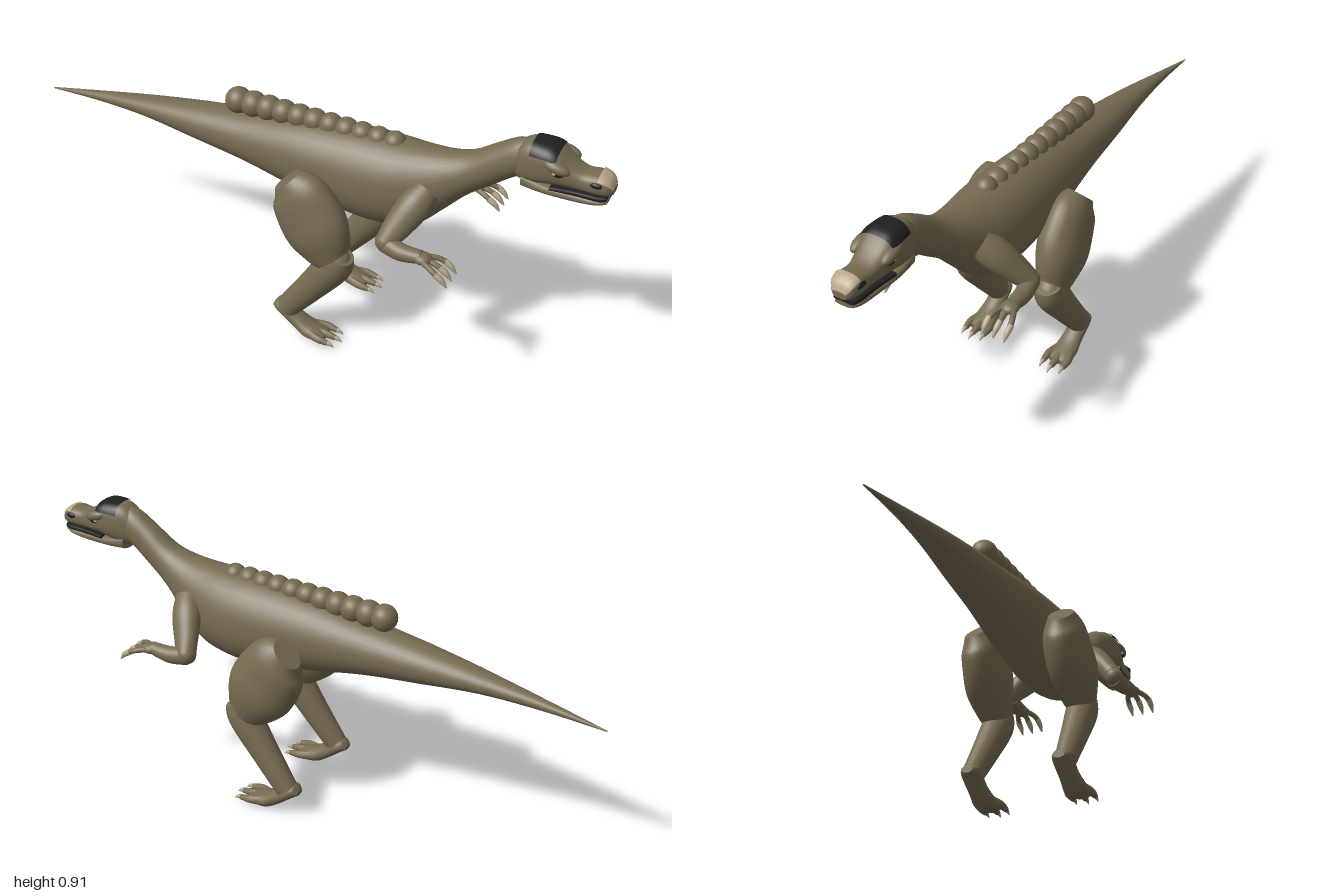
import * as THREE from 'three';

const mat = (name, color) => Object.assign(new THREE.MeshStandardMaterial({ color }), { name });

// Smoothly resample rows of numbers (Catmull-Rom on every column)
function smooth(rows, n = 5) {
  const out = [], last = rows.length - 1;
  for (let i = 0; i < last; i++) {
    const [a, b, c, d] = [i - 1, i, i + 1, i + 2].map(k => rows[Math.min(last, Math.max(0, k))]);
    for (let j = 0; j < n; j++) {
      const t = j / n;
      out.push(b.map((_, k) => b[k] + 0.5 * t * (c[k] - a[k]
        + t * (2 * a[k] - 5 * b[k] + 4 * c[k] - d[k] + t * (3 * (b[k] - c[k]) + d[k] - a[k])))));
    }
  }
  out.push(rows[last]);
  return out;
}

// Skin over rings [x, y, z, rHeight, rWidth]; upright keeps rings facing x; arc limits it to a top strip
function loft(rings, { upright = false, segs = 28, power = 1, arc = Math.PI } = {}) {
  const pos = [], idx = [], full = arc === Math.PI, cols = full ? segs : segs + 1;
  const bend = v => Math.sign(v) * Math.abs(v) ** power;
  const centres = rings.map(r => new THREE.Vector3(r[0], r[1], r[2]));
  rings.forEach((r, i) => {
    const t = upright ? new THREE.Vector3(1, 0, 0) : centres[Math.min(i + 1, rings.length - 1)].clone()
      .sub(centres[Math.max(i - 1, 0)]).normalize();
    const u = new THREE.Vector3(0, 0, 1).addScaledVector(t, -t.z).normalize();
    const n = u.clone().cross(t);
    for (let j = 0; j < cols; j++) {
      const a = -arc + 2 * arc * j / segs;
      const p = centres[i].clone().addScaledVector(n, r[3] * bend(Math.cos(a))).addScaledVector(u, r[4] * bend(Math.sin(a)));
      pos.push(p.x, p.y, p.z);
    }
  });
  for (let i = 0; i < rings.length - 1; i++) {
    for (let j = 0; j < segs; j++) {
      const k = (j + 1) % cols, a = i * cols + j, b = i * cols + k;
      idx.push(a, b, a + cols, b, b + cols, a + cols);
    }
  }
  if (full) {
    for (const end of [0, rings.length - 1]) {
      const base = pos.length / 3;
      pos.push(...pos.slice(end * cols * 3, (end + 1) * cols * 3), ...centres[end].toArray());
      for (let j = 0; j < segs; j++) {
        const a = base + j, b = base + (j + 1) % segs;
        idx.push(base + segs, end ? a : b, end ? b : a);
      }
    }
  }
  const g = new THREE.BufferGeometry();
  g.setAttribute('position', new THREE.Float32BufferAttribute(pos, 3));
  g.setIndex(idx);
  g.computeVertexNormals();
  return g;
}

// Rows [x, top, bottom, halfWidth] to rings
const profile = (rows, z = 0, n = 5) => smooth(rows, n).map(([x, t, b, w]) => [x, (t + b) / 2, z, (t - b) / 2, w]);

export function createModel() {
  const root = new THREE.Group();
  root.name = 'dinosaur';
  const hide = mat('hide', 0x776b51), claw = mat('claw', 0xb8a58a);
  const black = mat('black', 0x1f1f20), pale = mat('eyeGlint', 0xd9d2b8);
  const add = (parent, name, geo, m = hide) => {
    const mesh = new THREE.Mesh(geo, m);
    mesh.name = name;
    parent.add(mesh);
    return mesh;
  };
  const ball = (parent, name, p, r, m = hide) => {
    const b = add(parent, name, new THREE.SphereGeometry(1, 20, 14), m);
    b.position.set(...p);
    b.scale.set(...r);
    return b;
  };
  const group = name => {
    const g = new THREE.Group();
    g.name = name;
    root.add(g);
    return g;
  };

  // Tail, torso and neck in one skin
  add(root, 'body', loft(profile([
    [-1, 0.577, 0.573, 0.002], [-0.8, 0.617, 0.583, 0.02], [-0.6, 0.653, 0.583, 0.045], [-0.4, 0.685, 0.56, 0.07],
    [-0.2, 0.712, 0.533, 0.09], [0, 0.745, 0.49, 0.112], [0.2, 0.762, 0.458, 0.125], [0.32, 0.765, 0.462, 0.122],
    [0.41, 0.767, 0.49, 0.105], [0.49, 0.775, 0.57, 0.082], [0.56, 0.797, 0.645, 0.062], [0.63, 0.845, 0.7, 0.052],
    [0.7, 0.888, 0.755, 0.048], [0.76, 0.895, 0.785, 0.045]]), { upright: true, segs: 36 }));

  // Row of rounded lumps along the back
  const ridge = group('backRidge');
  for (let i = 0; i < 11; i++) {
    const r = 0.044 - i * 0.0008;
    ball(ridge, 'backLump', [-0.25 + i * 0.0555, 0.743 + i * 0.0008, 0], [r, r, r]);
  }

  // Head
  const head = group('head');
  const skull = profile([
    [0.7, 0.875, 0.77, 0.042], [0.735, 0.9, 0.762, 0.053], [0.78, 0.904, 0.77, 0.061], [0.825, 0.897, 0.78, 0.061],
    [0.87, 0.862, 0.782, 0.05], [0.91, 0.845, 0.782, 0.043], [0.955, 0.848, 0.782, 0.044],
    [0.985, 0.835, 0.785, 0.038], [1, 0.812, 0.792, 0.022]], 0, 6);
  const opts = { upright: true, power: 0.75 };
  add(head, 'skull', loft(skull, opts));
  add(head, 'lowerJaw', loft(profile([[0.73, 0.8, 0.747, 0.05], [0.8, 0.782, 0.745, 0.053], [0.9, 0.773, 0.742, 0.043],
    [0.96, 0.772, 0.75, 0.04], [0.987, 0.77, 0.758, 0.028]]), opts));
  add(head, 'mouth', loft(profile([[0.82, 0.785, 0.77, 0.055], [0.9, 0.786, 0.768, 0.045],
    [0.96, 0.786, 0.768, 0.043], [0.985, 0.786, 0.768, 0.034]]), { upright: true, power: 0.5 }), black);
  const shell = (from, to) => skull.filter(r => r[0] >= from && r[0] <= to)
    .map(([x, y, z, h, w]) => [x, y, z, h + 0.004, w + 0.004]);
  add(head, 'crownPatch', loft(shell(0.745, 0.835), { ...opts, arc: 1.12 }), black);
  add(head, 'noseTip', loft(shell(0.95, 1), { ...opts, arc: 1.0 }), claw);

  for (const s of [1, -1]) {
    const side = s > 0 ? 'left' : 'right';
    ball(head, side + 'Brow', [0.835, 0.856, s * 0.052], [0.042, 0.018, 0.02]).rotation.z = -0.25;
    ball(head, side + 'Eye', [0.84, 0.838, s * 0.054], [0.02, 0.011, 0.01], black);
    ball(head, side + 'EyeGlint', [0.832, 0.84, s * 0.061], [0.006, 0.006, 0.004], pale);
    ball(head, side + 'Nostril', [0.953, 0.824, s * 0.041], [0.018, 0.009, 0.007], black);

    // Leg
    const leg = group(side + 'Leg');
    const limb = (parent, name, rows, m, segs) =>
      add(parent, name, loft(smooth(rows.map(([x, y, z, h, w]) => [x, y, s * z, h, w])), { segs }), m);
    limb(leg, 'thigh', [[0.01, 0.61, 0.155, 0.055, 0.042], [0.045, 0.57, 0.15, 0.1, 0.066], [0.085, 0.5, 0.15, 0.118, 0.075],
      [0.12, 0.44, 0.155, 0.115, 0.074], [0.155, 0.385, 0.155, 0.09, 0.06], [0.175, 0.36, 0.155, 0.07, 0.052]]);
    ball(leg, 'knee', [0.182, 0.345, s * 0.155], [0.053, 0.05, 0.05]);
    limb(leg, 'shin', [[0.2, 0.375, 0.154, 0.045, 0.045], [0.178, 0.325, 0.154, 0.059, 0.052],
      [0.1, 0.215, 0.158, 0.05, 0.044], [0.01, 0.095, 0.163, 0.04, 0.034]]);
    add(leg, 'foot', loft(profile([[-0.035, 0.105, 0.088, 0.018], [-0.01, 0.125, 0.07, 0.034], [0.05, 0.085, 0.022, 0.034],
      [0.09, 0.06, 0.003, 0.04], [0.135, 0.043, 0.008, 0.04], [0.155, 0.033, 0.012, 0.03]], s * 0.16), { upright: true }));
    for (const d of [-1, 0, 1]) {
      const z = 0.158 + d * 0.037, x = d ? 0 : 0.012;
      limb(leg, 'toe', [[0.1, 0.03, 0.158 + d * 0.026, 0.017, 0.014], [0.14 + x, 0.028, z, 0.014, 0.013],
        [0.176 + x, 0.023, z, 0.009, 0.009]], hide, 12);
      limb(leg, 'toeClaw', [[0.165 + x, 0.025, z, 0.009, 0.008], [0.185 + x, 0.022, z, 0.007, 0.006],
        [0.2 + x, 0.013, z, 0.001, 0.001]], claw, 10);
    }

    // Arm
    const arm = group(side + 'Arm');
    limb(arm, 'upperArm', [[0.445, 0.655, 0.07, 0.045, 0.045], [0.425, 0.62, 0.115, 0.052, 0.045],
      [0.395, 0.565, 0.165, 0.044, 0.036], [0.375, 0.528, 0.196, 0.034, 0.032]]);
    ball(arm, 'elbow', [0.374, 0.524, s * 0.198], [0.034, 0.034, 0.032]);
    limb(arm, 'forearm', [[0.372, 0.52, 0.198, 0.032, 0.03], [0.43, 0.512, 0.21, 0.028, 0.028], [0.5, 0.52, 0.214, 0.02, 0.023]]);
    ball(arm, 'palm', [0.505, 0.518, s * 0.215], [0.03, 0.018, 0.028]);
    for (const d of [-1, 0, 1]) {
      const z = 0.217 + d * 0.038;
      limb(arm, 'finger', [[0.505, 0.518, 0.215 + d * 0.014, 0.01, 0.009], [0.545, 0.512, 0.216 + d * 0.032, 0.009, 0.009],
        [0.573, 0.499, z, 0.009, 0.009]], hide, 12);
      limb(arm, 'fingerClaw', [[0.562, 0.505, z, 0.01, 0.01], [0.585, 0.49, z, 0.009, 0.009],
        [0.603, 0.468, z, 0.002, 0.002]], claw, 10);
    }
  }
  return root;
}
